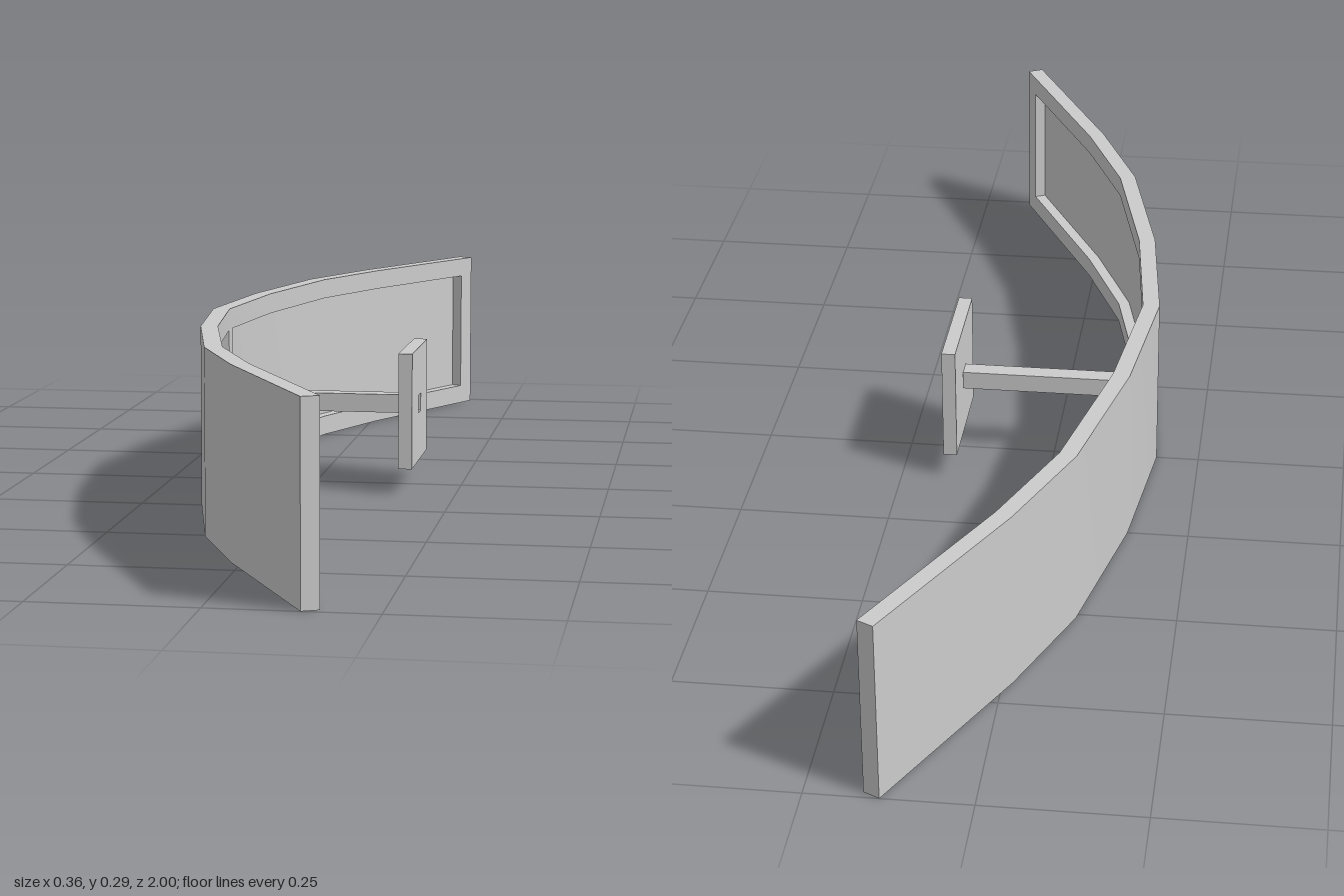
import * as THREE from 'three';
import { toCreasedNormals } from 'three/addons/utils/BufferGeometryUtils.js';

const HEIGHT = 0.295, THICK = 0.028, SHEET = 0.008, RIM = 0.035;

// Outer curve of the bowed panel as [x, z], mirrored across z = 0
const half = [[-0.178, 0], [-0.15, 0.25], [-0.092, 0.51], [-0.016, 0.695], [0.138, 1]];
const knots = [...half.slice(1).reverse().map(([x, z]) => [x, -z]), ...half]
  .map(([x, z]) => new THREE.Vector2(x, z));

// Mitred offset direction at each knot, pointing to the concave side
const miters = knots.map((p, i) => {
  const normal = (a, b) => {
    const d = b.clone().sub(a).normalize();
    return new THREE.Vector2(d.y, -d.x);
  };
  const before = i > 0 ? normal(knots[i - 1], p) : null;
  const after = i < knots.length - 1 ? normal(p, knots[i + 1]) : null;
  const n0 = before || after, n1 = after || before;
  const m = n0.clone().add(n1).normalize();
  return m.divideScalar(m.dot(n0));
});

// Point on the curve at z, moved inward by depth
function pointAt(z, depth) {
  let i = 0;
  while (i < knots.length - 2 && z > knots[i + 1].y) i++;
  const t = (z - knots[i].y) / (knots[i + 1].y - knots[i].y);
  const p = knots[i].clone().lerp(knots[i + 1], t);
  const n = miters[i].clone().lerp(miters[i + 1], t);
  return p.addScaledVector(n, depth);
}

// Closed rectangular bar that follows the curve from z0 to z1
function curvedBar(z0, z1, y0, y1, d0, d1) {
  const zs = [z0, ...knots.map(k => k.y).filter(z => z > z0 + 1e-4 && z < z1 - 1e-4), z1];
  const pos = [], idx = [];
  for (const z of zs) {
    for (const [d, y] of [[d0, y0], [d1, y0], [d1, y1], [d0, y1]]) {
      const p = pointAt(z, d);
      pos.push(p.x, y, p.y);
    }
  }
  for (let s = 0; s < zs.length - 1; s++) {
    for (let k = 0; k < 4; k++) {
      const a = s * 4 + k, b = s * 4 + (k + 1) % 4;
      idx.push(a, b, b + 4, a, b + 4, a + 4);
    }
  }
  const e = (zs.length - 1) * 4;
  idx.push(0, 2, 1, 0, 3, 2, e, e + 1, e + 2, e, e + 2, e + 3);
  const geo = new THREE.BufferGeometry();
  geo.setAttribute('position', new THREE.Float32BufferAttribute(pos, 3));
  geo.setIndex(idx);
  return toCreasedNormals(geo, 0.5);
}

export function createModel() {
  const model = new THREE.Group();
  model.name = 'curvedPanelOnMount';
  const material = new THREE.MeshStandardMaterial({ color: 0xcccccc });
  const add = (name, geometry) => {
    const mesh = new THREE.Mesh(geometry, material);
    mesh.name = name;
    model.add(mesh);
    return mesh;
  };

  // Thin curved sheet with a raised rim and centre divider on the concave side
  const top = HEIGHT - RIM, end = 0.967;
  add('backSheet', curvedBar(-1, 1, 0, HEIGHT, 0, SHEET));
  add('bottomRim', curvedBar(-1, 1, 0, RIM, SHEET, THICK));
  add('topRim', curvedBar(-1, 1, top, HEIGHT, SHEET, THICK));
  add('frontEndRim', curvedBar(end, 1, RIM, top, SHEET, THICK));
  add('rearEndRim', curvedBar(-1, -end, RIM, top, SHEET, THICK));
  add('centreDivider', curvedBar(-0.015, 0.015, RIM, top, SHEET, THICK));

  // Square arm from the divider to the mounting plate
  const armY = 0.14, armSize = 0.031, x0 = -0.155, x1 = 0.155;
  add('arm', new THREE.BoxGeometry(x1 - x0, armSize, armSize))
    .position.set((x0 + x1) / 2, armY, 0);

  // Mounting plate with a square socket where the arm meets it
  const square = (Type, s) => new Type([[-s, -s], [s, -s], [s, s], [-s, s]]
    .map(([x, y]) => new THREE.Vector2(x, y)));
  const plate = square(THREE.Shape, 0.1);
  plate.holes.push(square(THREE.Path, armSize / 2));
  const plateGeo = new THREE.ExtrudeGeometry(plate, { depth: 0.023, bevelEnabled: false });
  plateGeo.rotateY(Math.PI / 2).scale(1, 0.97, 1.035);
  add('mountingPlate', plateGeo).position.set(x1, armY, 0);

  return model;
}
